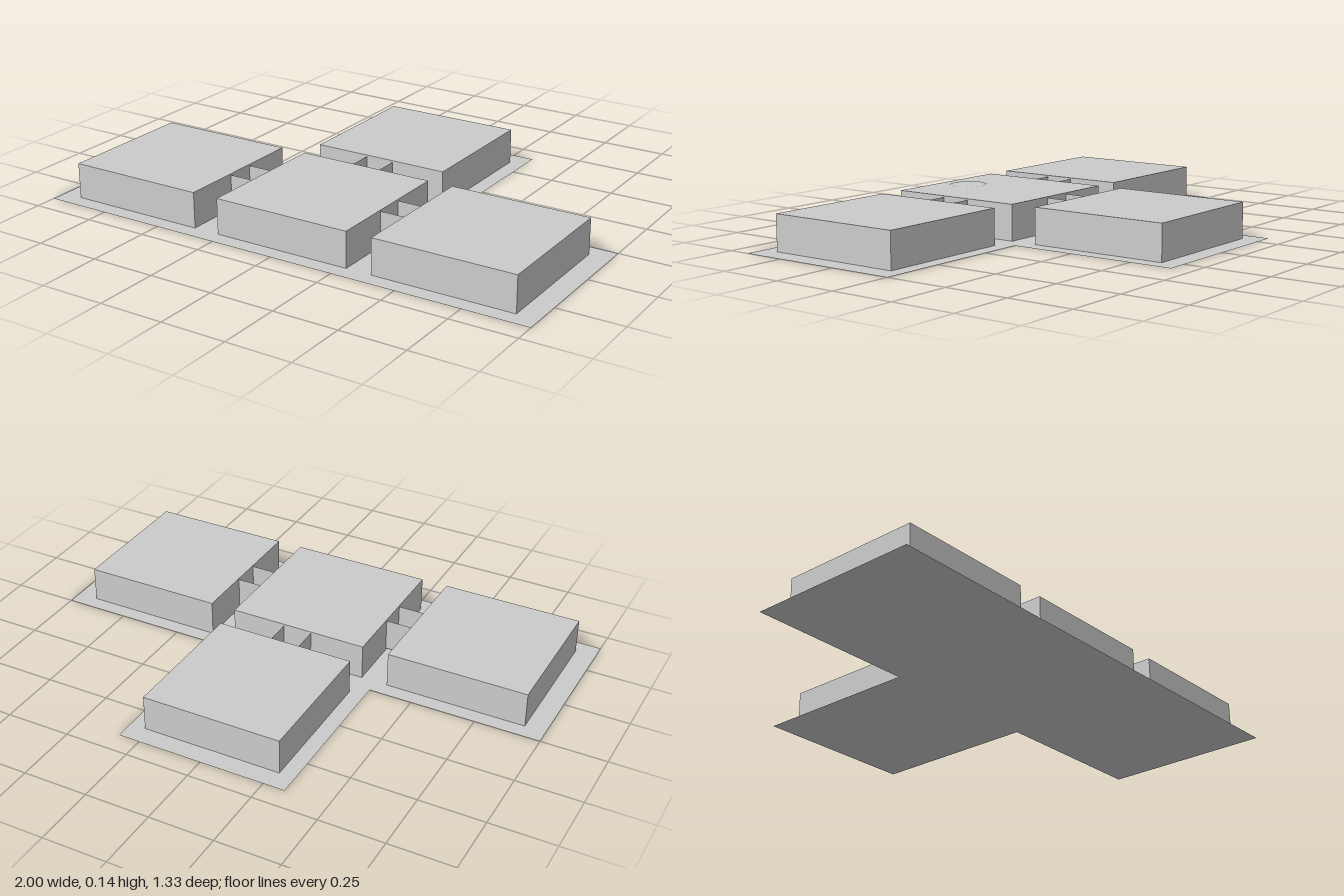
import * as THREE from 'three';

const material = new THREE.MeshStandardMaterial({ color: 0xcccccc, flatShading: true, side: THREE.DoubleSide });
const HEIGHT = 0.137;

export function createModel() {
  const model = new THREE.Group();
  model.name = 'roomComplex';

  const add = (name, geometry, x, y, z, parent = model) => {
    const mesh = new THREE.Mesh(geometry, material);
    mesh.name = name;
    mesh.position.set(x, y, z);
    parent.add(mesh);
    return mesh;
  };

  // Thin T-shaped ground plate
  const t = 1 / 3;
  const outline = [[-1, -2 * t], [1, -2 * t], [1, 0], [t, 0], [t, 2 * t], [-t, 2 * t], [-t, 0], [-1, 0]];
  const plate = new THREE.Shape(outline.map(([x, y]) => new THREE.Vector2(x, y)));
  add('groundPlate', new THREE.ShapeGeometry(plate).rotateX(-Math.PI / 2), 0, 0, 0);

  // Four equal square rooms
  const rooms = [
    ['centreRoom', 0, 0.332],
    ['rightRoom', -0.648, 0.332],
    ['leftRoom', 0.645, 0.332],
    ['backRoom', 0, -0.318],
  ];
  for (const [name, x, z] of rooms) {
    add(name, new THREE.BoxGeometry(0.545, HEIGHT, 0.545), x, HEIGHT / 2, z);
  }

  // Open-topped corridors: a pair of thin walls joining neighbouring rooms
  const corridors = [
    ['rightCorridor', -0.325, 0.328, 0],
    ['leftCorridor', 0.322, 0.328, 0],
    ['backCorridor', 0, 0.007, Math.PI / 2],
  ];
  for (const [name, x, z, turn] of corridors) {
    const corridor = new THREE.Group();
    corridor.name = name;
    corridor.position.set(x, 0, z);
    corridor.rotation.y = turn;
    for (const side of [-1, 1]) {
      add('corridorWall', new THREE.PlaneGeometry(0.105, 0.124), 0, 0.07, side * 0.057, corridor);
    }
    model.add(corridor);
  }

  // Flat eight-sided hatch on the centre roof
  add('roofHatch', new THREE.CircleGeometry(0.075, 8).rotateX(-Math.PI / 2), 0, HEIGHT + 0.001, 0.495);

  return model;
}
